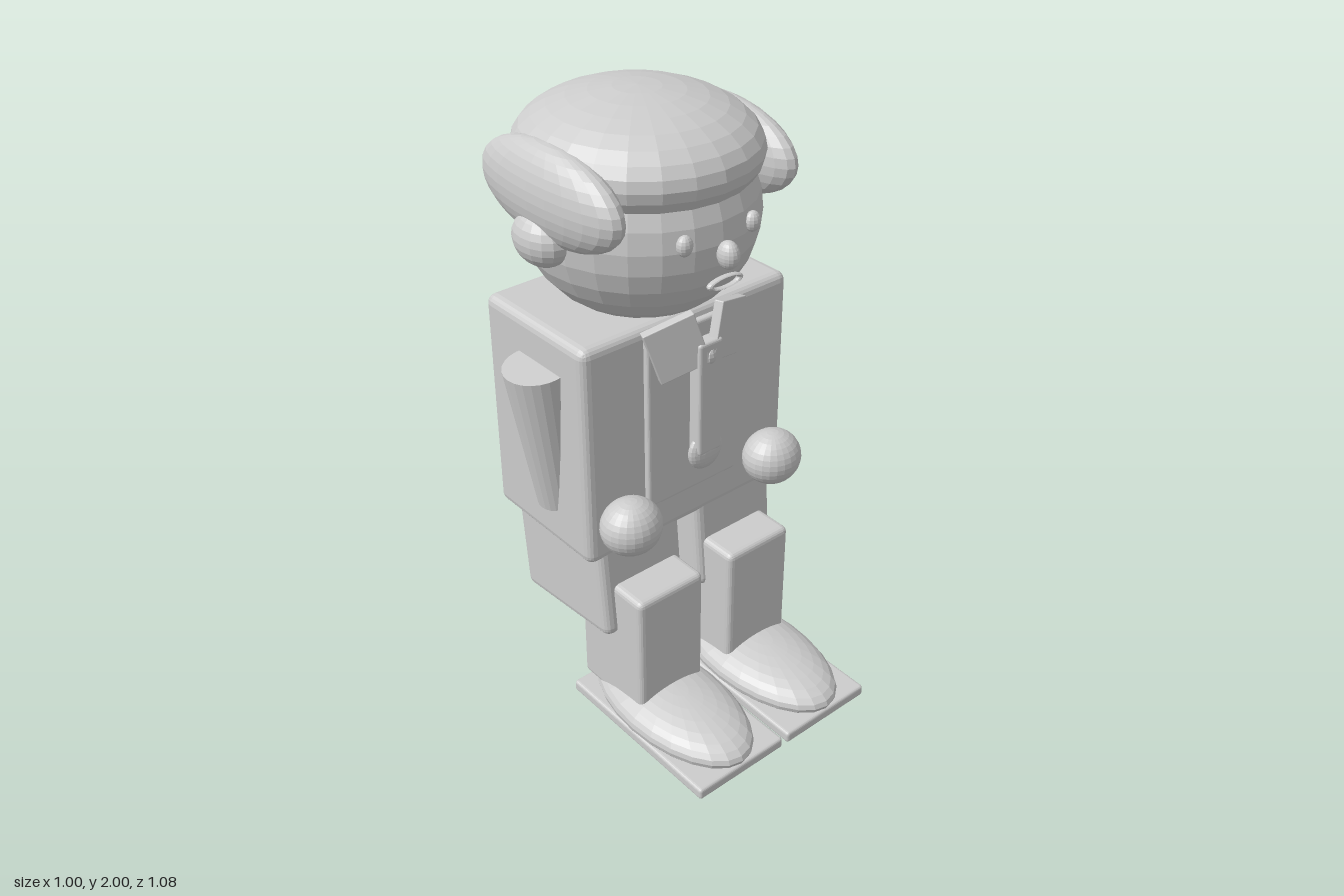
import * as THREE from 'three';
import { RoundedBoxGeometry } from 'three/addons/geometries/RoundedBoxGeometry.js';

export function createModel() {
  const model = new THREE.Group();
  model.name = 'blockFigure';
  const grey = new THREE.MeshStandardMaterial({ color: 0xcccccc });
  grey.name = 'light grey';
  grey.flatShading = true;

  function add(name, geometry, pos, rot = [0, 0, 0]) {
    const mesh = new THREE.Mesh(geometry, grey);
    mesh.name = name;
    mesh.position.set(...pos);
    mesh.rotation.set(...rot);
    model.add(mesh);
    return mesh;
  }
  const ball = (rx, ry, rz, w = 24, h = 16) => new THREE.SphereGeometry(1, w, h).scale(rx, ry, rz);
  const block = (w, h, d, r = 0.03) => new RoundedBoxGeometry(w, h, d, 2, r);

  // Head, hair and face
  add('head', ball(0.35, 0.33, 0.368), [0, 1.65, -0.165]);
  add('hairCap', ball(0.355, 0.17, 0.373), [0, 1.83, -0.163]);
  add('nose', ball(0.03, 0.042, 0.036, 16, 12), [0, 1.625, 0.222]);
  add('mouth', new THREE.TorusGeometry(0.055, 0.01, 8, 24).scale(1, 0.3, 1), [0, 1.54, 0.21]);

  // Jacket body, shirt front and tie
  add('jacket', block(0.78, 0.74, 0.476), [0, 1.02, -0.172]);
  add('shirtFront', block(0.35, 0.58, 0.08, 0.01), [0, 1.07, 0.045]);
  add('tieStrip', block(0.09, 0.38, 0.05, 0.01), [0, 1.14, 0.137]);
  add('tieTip', ball(0.064, 0.065, 0.025, 20, 14), [0, 0.95, 0.137]);
  add('tieKnot', ball(0.018, 0.025, 0.012, 8, 6), [0, 1.28, 0.158]);

  // Mirrored parts
  for (const [side, s] of [['left', 1], ['right', -1]]) {
    const name = (part) => side + part;
    add(name('HairLock'), ball(0.083, 0.143, 0.31), [s * 0.31, 1.768, -0.155]);
    add(name('Ear'), ball(0.075, 0.082, 0.102, 16, 12), [s * 0.343, 1.645, -0.16]);
    add(name('Eye'), ball(0.025, 0.031, 0.022, 12, 10), [s * 0.123, 1.675, 0.183]);
    add(name('Collar'), block(0.16, 0.175, 0.03, 0.003), [s * 0.095, 1.325, 0.115], [0, s * 0.38, -s * 0.32]);
    add(name('Sleeve'), new THREE.CylinderGeometry(0.102, 0.067, 0.49, 24), [s * 0.373, 1.025, -0.14], [0, 0, -s * 0.11]);
    add(name('Hand'), ball(0.098, 0.09, 0.09), [s * 0.285, 0.8, 0.135]);
    add(name('Thigh'), block(0.32, 0.46, 0.435), [s * 0.192, 0.571, -0.147], [-0.087, 0, 0]);
    add(name('Shin'), block(0.255, 0.46, 0.3, 0.02), [s * 0.183, 0.315, 0.052]);
    add(name('Shoe'), ball(0.173, 0.08, 0.333), [s * 0.185, 0.08, 0.207]);
    add(name('Sole'), block(0.345, 0.04, 0.635, 0.01), [s * 0.183, 0.042, 0.22]);
  }
  return model;
}
